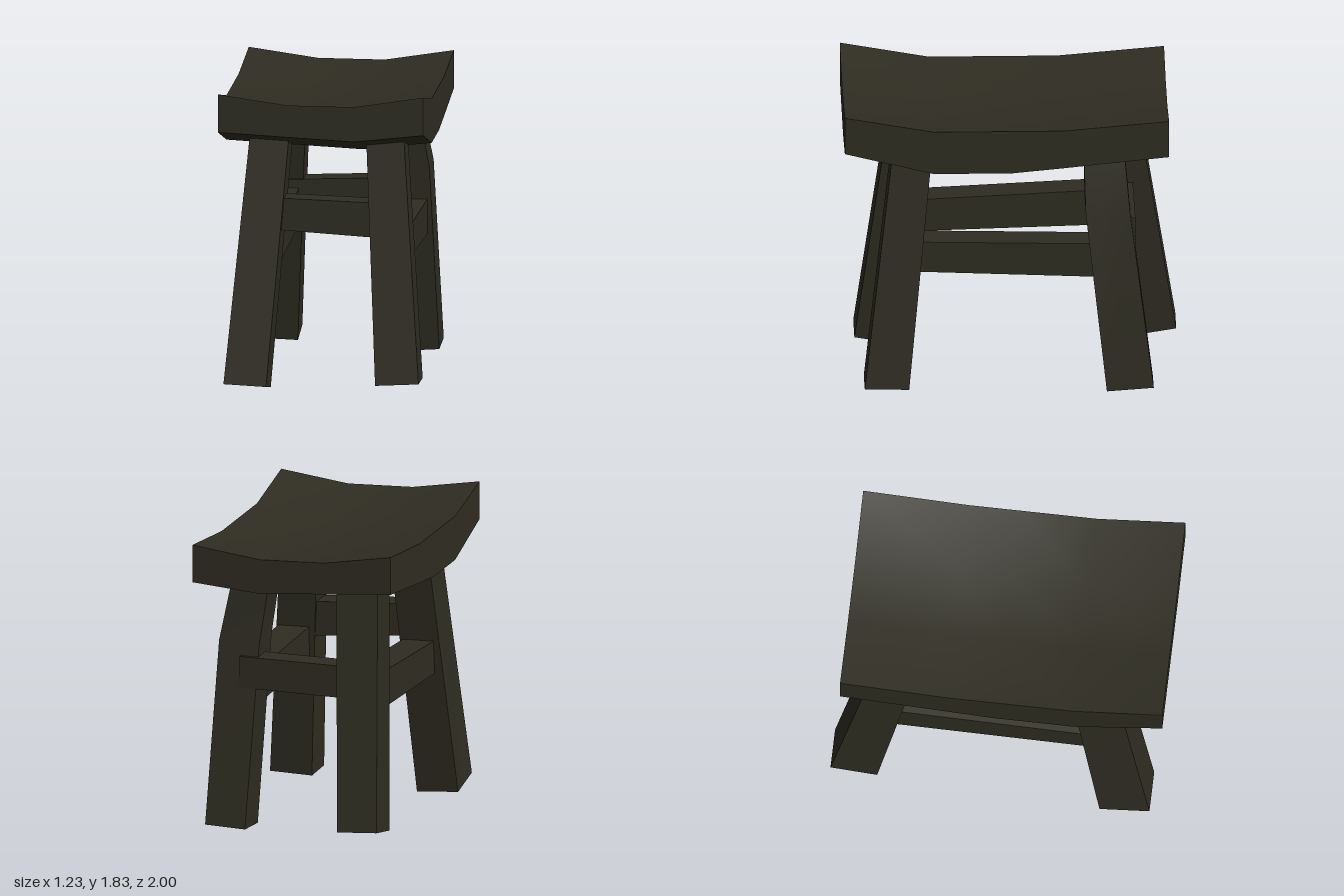
import * as THREE from 'three';
import { toCreasedNormals } from 'three/addons/utils/BufferGeometryUtils.js';

const lerp = (a, b, t) => a + (b - a) * t;

// Unit box whose vertices are moved by a rule; u, v, w run 0..1 along x, y, z
function shapedBox(name, material, segments, rule) {
  const geometry = new THREE.BoxGeometry(1, 1, 1, ...segments);
  const p = geometry.attributes.position;
  for (let i = 0; i < p.count; i++) {
    p.setXYZ(i, ...rule(p.getX(i) + 0.5, p.getY(i) + 0.5, p.getZ(i) + 0.5));
  }
  const mesh = new THREE.Mesh(toCreasedNormals(geometry, 0.5), material);
  mesh.name = name;
  return mesh;
}

// Dished seat: height is a sum of a cross curve and a lengthwise curve
function makeSeat(material) {
  const xs = [-0.615, -0.2, 0.2, 0.615];
  const zs = [-0.935, -0.3, 0, 0.47, 1];
  const topX = [1.835, 1.775, 1.771, 1.835];
  const topZ = [-0.04, -0.095, -0.095, -0.095, 0];
  const lowX = [1.605, 1.582, 1.56, 1.605];
  const lowZ = [-0.038, -0.104, -0.133, -0.133, 0];
  return shapedBox('seat', material, [3, 1, 4], (u, v, w) => {
    const i = Math.round(u * 3), k = Math.round(w * 4);
    return [xs[i], v > 0.5 ? topX[i] + topZ[k] : lowX[i] + lowZ[k], zs[k]];
  });
}

// Splayed leg through sections [x0, x1, z0, z1, y, rise along x, rise along z]
function makeLeg(name, material, sections) {
  const n = sections.length - 1;
  return shapedBox(name, material, [1, n, 1], (u, v, w) => {
    const [x0, x1, z0, z1, y, dx = 0, dz = 0] = sections[Math.round(v * n)];
    return [lerp(x0, x1, u), y + dx * (u - 0.5) + dz * (w - 0.5), lerp(z0, z1, w)];
  });
}

// Rail with its own bottom and top heights at each end
function makeRail(name, material, axis, [x0, x1], [z0, z1], low, high) {
  return shapedBox(name, material, [1, 1, 1], (u, v, w) => {
    const t = axis === 'x' ? u : w;
    const y = lerp(lerp(low[0], low[1], t), lerp(high[0], high[1], t), v);
    return [lerp(x0, x1, u), y, lerp(z0, z1, w)];
  });
}

export function createModel() {
  const group = new THREE.Group();
  group.name = 'stool';
  const wood = new THREE.MeshStandardMaterial({ color: 0x2f2d22 });
  wood.name = 'dark wood';

  group.add(makeSeat(wood));

  // Four uneven, hand-cut legs, tops buried in the seat
  const legs = {
    frontRightLeg: [
      [-0.59, -0.335, 0.62, 0.92, 0.036, -0.013, 0.052],
      [-0.45, -0.215, 0.43, 0.71, 1.56]],
    frontLeftLeg: [
      [0.315, 0.575, 0.615, 0.88, 0.07, 0.013, 0.005],
      [0.245, 0.47, 0.475, 0.71, 1.56]],
    backLeftLeg: [
      [0.315, 0.562, -0.845, -0.565, 0.05, 0.015, -0.02],
      [0.265, 0.515, -0.705, -0.44, 1.17],
      [0.21, 0.44, -0.67, -0.43, 1.56]],
    backRightLeg: [
      [-0.545, -0.3, -1, -0.72, 0.09, -0.01, -0.045],
      [-0.485, -0.23, -0.765, -0.51, 1.56]],
  };
  for (const [name, sections] of Object.entries(legs)) group.add(makeLeg(name, wood, sections));

  // Rails joining neighbouring legs
  group.add(
    makeRail('frontRail', wood, 'x', [-0.38, 0.38], [0.54, 0.72], [0.98, 0.93], [1.17, 1.142]),
    makeRail('backRail', wood, 'x', [-0.38, 0.38], [-0.74, -0.56], [0.865, 0.895], [1.06, 1.085]),
    makeRail('leftRail', wood, 'z', [0.31, 0.5], [-0.6, 0.65], [0.755, 0.805], [0.968, 0.993]),
    makeRail('rightRail', wood, 'z', [-0.47, -0.28], [-0.7, 0.65], [0.79, 0.752], [1.015, 0.95]),
  );
  return group;
}
